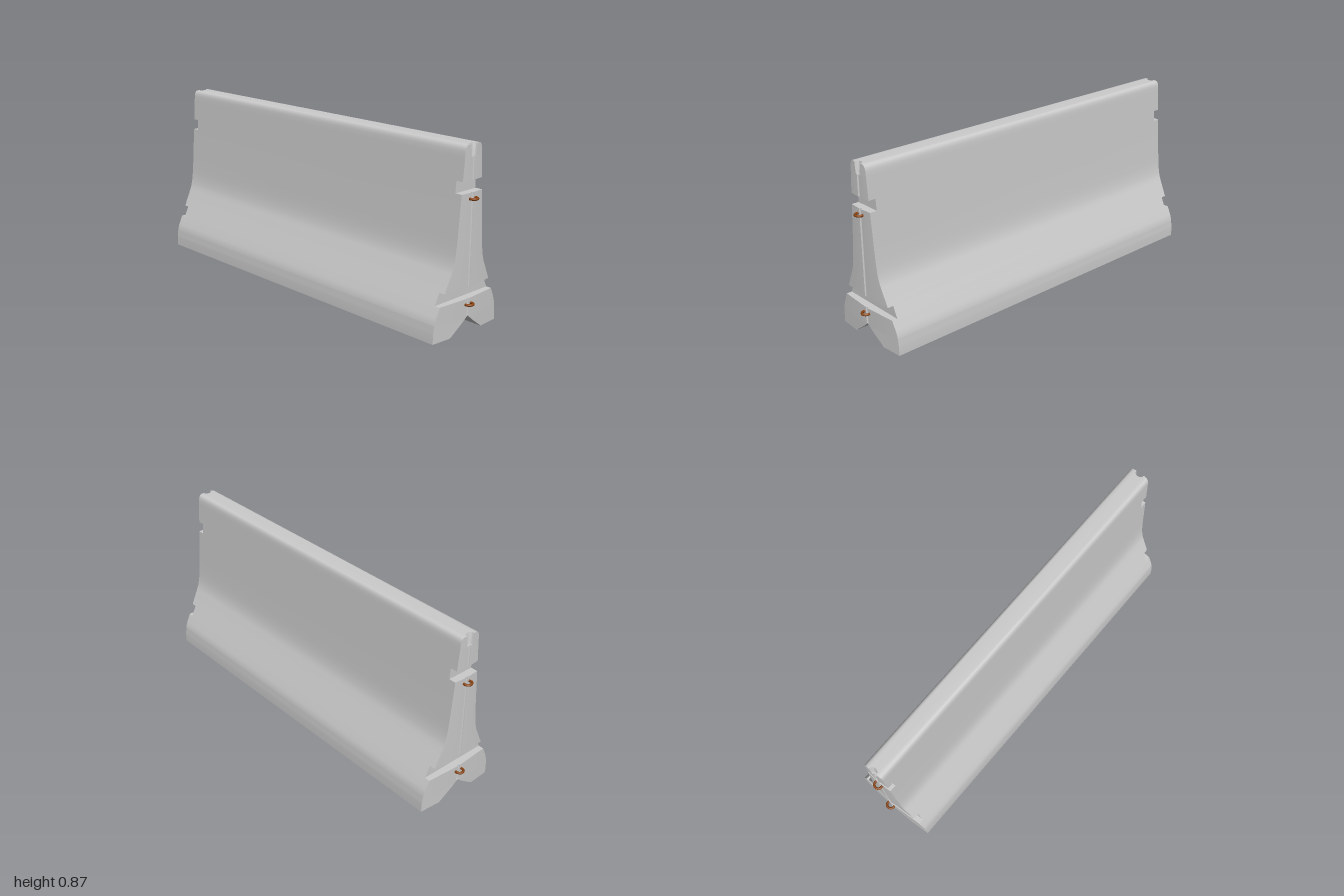
import * as THREE from 'three';
import { toCreasedNormals } from 'three/addons/utils/BufferGeometryUtils.js';

// Half width of the outer face and of the underside channel, as [y, x]
const OUTER = [[0, 0.216], [0.045, 0.215], [0.085, 0.21], [0.105, 0.205], [0.12, 0.199],
  [0.3, 0.114], [0.32, 0.105], [0.345, 0.098], [0.375, 0.092], [0.41, 0.088], [0.45, 0.084],
  [0.65, 0.069], [0.835, 0.0555], [0.848, 0.053], [0.857, 0.049], [0.863, 0.043], [0.865, 0.036]];
const CHANNEL = [[0, 0.108], [0.053, 0.035], [0.083, 0]];

// Height bands: from, to, end plane z, end slope, groove radius at both heights
const BANDS = [
  [0, 0.083, 0.97, 0.07, 0, 0],
  [0.083, 0.163, 0.97, 0.07, 0.007, 0.007],
  [0.163, 0.218, 0.93, 0, 0, 0],
  [0.218, 0.65, 0.97, 0.07, 0.007, 0.007],
  [0.65, 0.705, 0.93, 0, 0, 0],
  [0.705, 0.81, 0.97, 0.07, 0.007, 0.007],
  [0.81, 0.865, 0.97, 0.07, 0.014, 0.022],
];
const ARC = 8;

function sample(table, y) {
  for (let i = 1; i < table.length; i++) {
    const [y0, x0] = table[i - 1], [y1, x1] = table[i];
    if (y <= y1) return x0 + (x1 - x0) * (y - y0) / (y1 - y0);
  }
  return table[table.length - 1][1];
}

// Horizontal outline of one half, from the front groove round the side to the rear groove
function slice(y, [y0, y1, end, slope, r0, r1]) {
  const w = sample(OUTER, y), inner = sample(CHANNEL, y);
  const r = r0 + (r1 - r0) * (y - y0) / (y1 - y0);
  const front = [];
  for (let k = 0; k <= ARC; k++) {
    const a = k / ARC * Math.PI / 2;
    const x = inner + r * Math.sin(a);
    front.push([x, end - slope * x - r * Math.cos(a)]);
  }
  front.push([w, end - slope * w]);
  const rear = front.map(([x, z]) => [x, -z]).reverse();
  const points = [...front, [w, 0], ...rear].map(([x, z]) => new THREE.Vector3(x, y, z));
  return { points, inner };
}

// Concrete body: outlines stacked by height, with repeated heights forming slot ledges
function bodyGeometry() {
  const heights = [...OUTER, ...CHANNEL].map(p => p[0]).sort((a, b) => a - b);
  const slices = [];
  for (const band of BANDS) {
    const inside = heights.filter(y => y > band[0] && y < band[1]);
    for (const y of [band[0], ...inside, band[1]]) slices.push(slice(y, band));
  }

  const positions = [];
  const area = new THREE.Triangle();
  const tri = (a, b, c) => {
    if (area.set(a, b, c).getArea() < 1e-9) return;
    for (const p of [a, b, c]) positions.push(p.x, p.y, p.z);
    for (const p of [a, c, b]) positions.push(-p.x, p.y, p.z); // mirrored half
  };

  for (let i = 1; i < slices.length; i++) {
    const lo = slices[i - 1], hi = slices[i], n = lo.points.length;
    for (let j = 0; j < n; j++) {
      // The closing side only exists where the channel separates the halves
      if (j === n - 1 && lo.inner === 0 && hi.inner === 0) continue;
      const k = (j + 1) % n;
      tri(lo.points[j], lo.points[k], hi.points[k]);
      tri(lo.points[j], hi.points[k], hi.points[j]);
    }
  }

  // Flat top and foot soles, fanned from the middle of the side
  const cap = (pts, up) => {
    const n = pts.length, hub = pts[(n - 1) / 2];
    for (let j = 0; j < n; j++) {
      const a = pts[j], b = pts[(j + 1) % n];
      if (up) tri(hub, a, b); else tri(hub, b, a);
    }
  };
  cap(slices[0].points, false);
  cap(slices[slices.length - 1].points, true);

  const geometry = new THREE.BufferGeometry();
  geometry.setAttribute('position', new THREE.Float32BufferAttribute(positions, 3));
  return toCreasedNormals(geometry, 0.55);
}

export function createModel() {
  const model = new THREE.Group();
  model.name = 'roadBarrier';

  const concrete = new THREE.MeshStandardMaterial({ color: 0xcccccc });
  const body = new THREE.Mesh(bodyGeometry(), concrete);
  body.name = 'barrierBody';
  model.add(body);

  // Rusty coupling loops, two at each end
  const rust = new THREE.MeshStandardMaterial({ color: 0x8b4513 });
  const loopGeometry = new THREE.TorusGeometry(0.019, 0.006, 10, 28).rotateX(Math.PI / 2);
  for (const side of [1, -1]) {
    for (const [label, y] of [['upper', 0.624], ['lower', 0.138]]) {
      const loop = new THREE.Mesh(loopGeometry, rust);
      loop.name = label + (side > 0 ? 'Front' : 'Back') + 'CouplingLoop';
      loop.position.set(0, y, side * 0.975);
      model.add(loop);
    }
  }
  return model;
}
